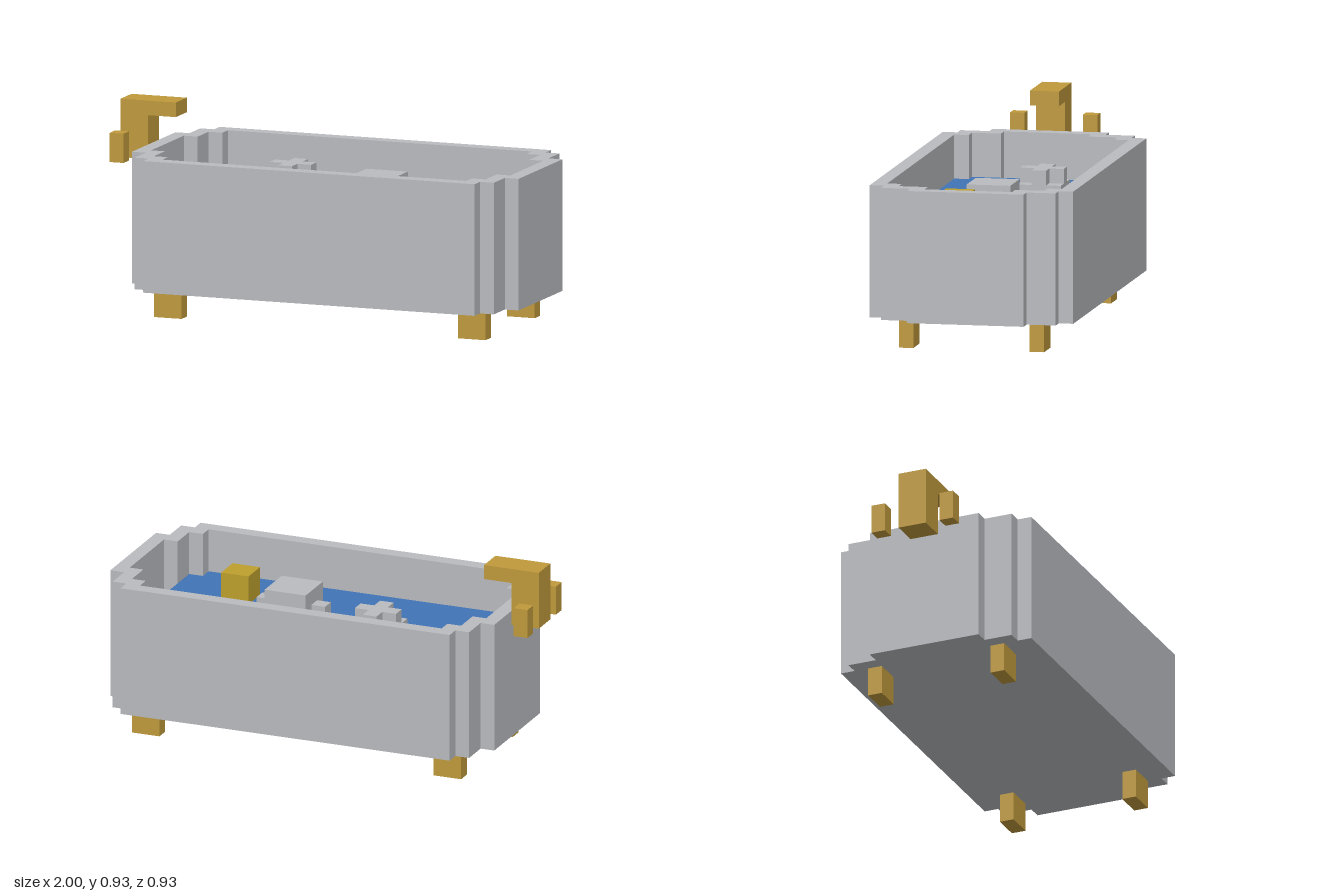
import * as THREE from 'three';

const U = 1 / 15; // one block

function material(name, hex) {
  const m = new THREE.MeshStandardMaterial({ color: hex });
  m.name = name;
  return m;
}

// Stepped outline from one quadrant of corners (in blocks), mirrored to all four
function outline(quadrant, Type = THREE.Shape) {
  const back = [...quadrant].reverse();
  const points = [
    ...quadrant,
    ...back.map(([x, z]) => [-x, z]),
    ...quadrant.map(([x, z]) => [-x, -z]),
    ...back.map(([x, z]) => [x, -z]),
  ];
  return new Type(points.map(([x, z]) => new THREE.Vector2(x * U, z * U)));
}

export function createModel() {
  const group = new THREE.Group();
  const grey = material('grey', 0xb9bbbf);
  const gold = material('gold', 0xc09a3c);
  const yellow = material('yellow', 0xbea02d);
  const blue = material('water blue', 0x4074b6);

  // Box between two corners, given in blocks
  function box(name, mat, [x0, y0, z0], [x1, y1, z1], parent = group) {
    const geo = new THREE.BoxGeometry((x1 - x0) * U, (y1 - y0) * U, (z1 - z0) * U);
    const mesh = new THREE.Mesh(geo, mat);
    mesh.name = name;
    mesh.position.set((x0 + x1) / 2 * U, (y0 + y1) / 2 * U, (z0 + z1) / 2 * U);
    parent.add(mesh);
  }

  // Horizontal slab of a shape between two heights, centred on the tub
  function slab(name, mat, shape, y0, y1) {
    const geo = new THREE.ExtrudeGeometry(shape, { depth: (y1 - y0) * U, bevelEnabled: false });
    geo.rotateX(-Math.PI / 2);
    const mesh = new THREE.Mesh(geo, mat);
    mesh.name = name;
    mesh.position.set(U, y0 * U, 0);
    group.add(mesh);
  }

  // Tub: floor, hollow wall and water
  const outer = [[14, 4], [13, 4], [13, 6], [12, 6], [12, 7]];
  const inner = [[13, 3], [12, 3], [12, 5], [11, 5], [11, 6]];
  const pool = [[12, 5], [11, 5], [11, 6]];
  slab('tubFloor', grey, outline(outer), 2, 3);
  const wall = outline(outer);
  wall.holes.push(outline(inner, THREE.Path));
  slab('tubWall', grey, wall, 3, 11);
  slab('water', blue, outline(pool), 7, 8);

  // Feet and tap handles, mirrored front to back
  for (const s of [-1, 1]) {
    const z = s * 4.5;
    box('rightFoot', gold, [-11, 0, z - 0.5], [-9, 2, z + 0.5]);
    box('leftFoot', gold, [11, 0, z - 0.5], [13, 2, z + 0.5]);
    box('tapHandle', gold, [-15, 10, s * 2.5 - 0.5], [-14, 12, s * 2.5 + 0.5]);
  }

  // Tap
  box('tapPost', gold, [-15, 10, -1], [-13, 14, 1]);
  box('tapSpout', gold, [-13, 13, -1], [-11, 14, 1]);

  // Foam: square base with a cross on top
  const foam = new THREE.Group();
  foam.name = 'foam';
  group.add(foam);
  box('foamBase', grey, [-5, 8, -3], [-2, 9, 0], foam);
  box('foamCrossBar', grey, [-5, 9, -2], [-2, 10, -1], foam);
  box('foamCrossBack', grey, [-4, 9, -3], [-3, 10, -2], foam);
  box('foamCrossFront', grey, [-4, 9, -1], [-3, 10, 0], foam);

  // Large bubble: block with a low nub on each side
  const bubble = new THREE.Group();
  bubble.name = 'bubble';
  group.add(bubble);
  box('bubbleBody', grey, [2, 8, -1], [5, 10, 2], bubble);
  for (const [x, z] of [[1, 0], [5, 0], [3, -2], [3, 2]]) {
    box('bubbleNub', grey, [x, 8, z], [x + 1, 9, z + 1], bubble);
  }

  // Floating toy
  box('floatingToy', yellow, [7, 8, 1], [9, 10, 3]);

  return group;
}
